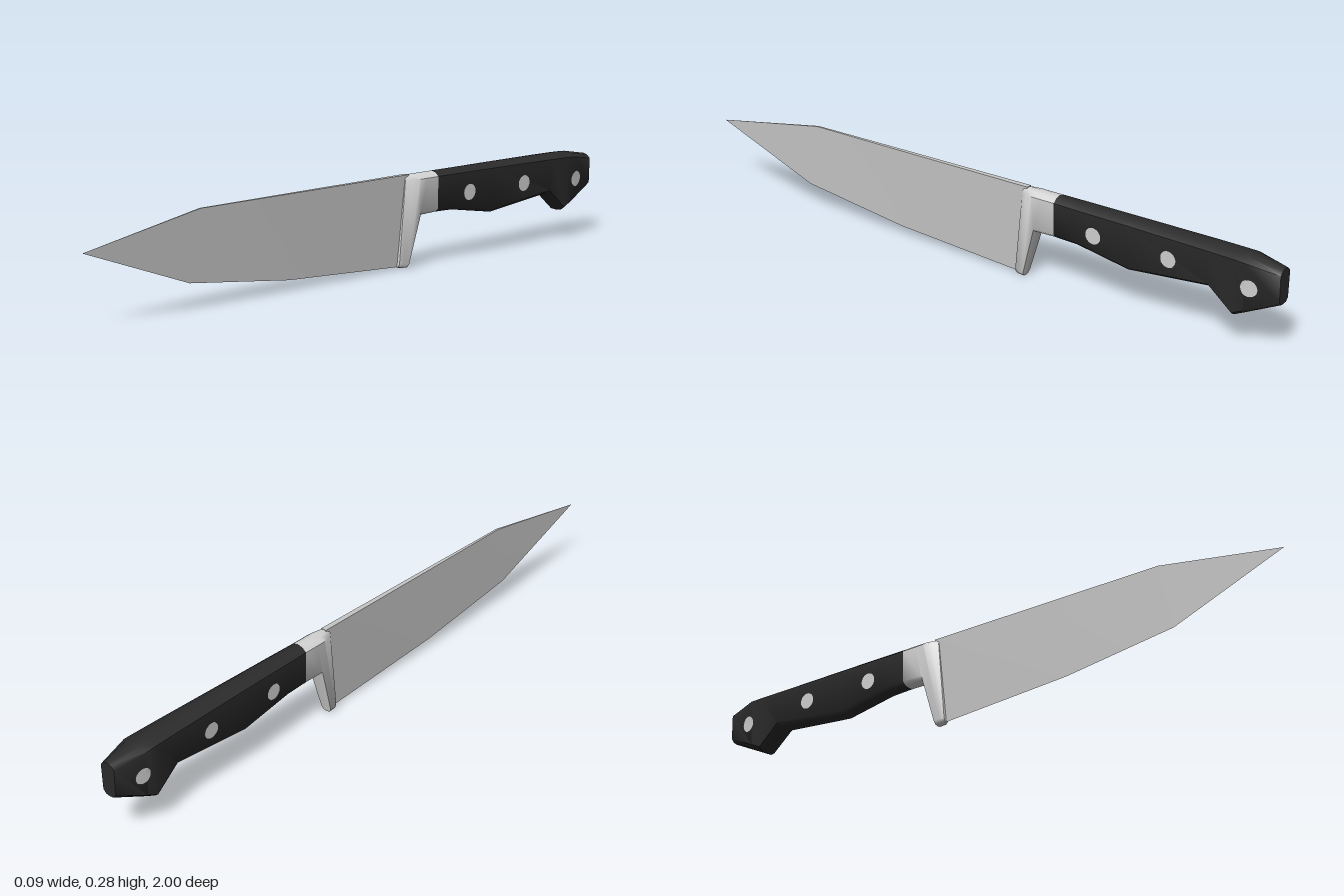
import * as THREE from 'three';
import { toCreasedNormals } from 'three/addons/utils/BufferGeometryUtils.js';

// Each ring is [topZ, topY, bottomZ, bottomY, topHalfWidth, bottomHalfWidth]
const BLADE = [
  [1, 0.205, 1, 0.205, 0, 0],
  [0.61, 0.275, 0.65, 0.075, 0.003, 0],
  [0.29, 0.277, 0.29, 0.03, 0.006, 0],
  [-0.18, 0.28, -0.15, 0.005, 0.009, 0],
];
const BOLSTER = [
  [-0.165, 0.278, -0.14, 0.004, 0.011, 0.01],
  [-0.185, 0.28, -0.15, 0.001, 0.021, 0.017],
  [-0.21, 0.28, -0.172, 0, 0.03, 0.018],
  [-0.24, 0.28, -0.213, 0.153, 0.03, 0.027],
  [-0.285, 0.28, -0.285, 0.155, 0.03, 0.028],
];
const HANDLE = [
  [-0.285, 0.28, -0.285, 0.155, 0.03, 0.028],
  [-0.36, 0.28, -0.36, 0.153, 0.032, 0.029],
  [-0.53, 0.28, -0.53, 0.125, 0.035, 0.03],
  [-0.79, 0.279, -0.79, 0.153, 0.041, 0.035],
  [-0.865, 0.278, -0.865, 0.09, 0.043, 0.034],
  [-0.9, 0.277, -0.9, 0.107, 0.044, 0.034],
  [-1, 0.26, -1, 0.155, 0.025, 0.023],
];

// Half outlines from top to bottom: [side (0 centre, 1 full), drop from top, rise from bottom, use bottom]
const WEDGE = [[1, 0, false], [0, 0, true]];
const ROUNDED = [[0, 0, false], [0.55, 0.004, false], [1, 0.015, false], [1, 0.012, true], [0.6, 0.002, true], [0, 0, true]];

// Turns one ring into a closed outline, mirrored across x
function outline([tz, ty, bz, by, wt, wb], half) {
  const left = half.map(([side, inset, low]) => {
    const y = low ? by + inset : ty - inset;
    const t = ty === by ? 0 : (ty - y) / (ty - by);
    return [-side * (low ? wb : wt), y, tz + (bz - tz) * t];
  });
  const right = left.filter((p, i) => half[i][0] > 0).reverse().map(([x, y, z]) => [-x, y, z]);
  return [...left, ...right];
}

// Skins the outlines from front to back and caps both ends
function loft(rings, half, crease) {
  const loops = rings.map((r) => outline(r, half));
  const n = loops[0].length;
  const index = [];
  for (let i = 0; i < loops.length - 1; i++) {
    for (let j = 0; j < n; j++) {
      const a = i * n + j, b = i * n + ((j + 1) % n);
      index.push(a, a + n, b, b, a + n, b + n);
    }
  }
  const last = (loops.length - 1) * n;
  for (let j = 1; j < n - 1; j++) {
    index.push(0, j, j + 1, last, last + j + 1, last + j);
  }
  const geo = new THREE.BufferGeometry();
  geo.setAttribute('position', new THREE.Float32BufferAttribute(loops.flat(2), 3));
  geo.setIndex(index);
  return toCreasedNormals(geo, crease);
}

// Half width of the handle side at a given height and depth
function handleSide(y, z) {
  let i = 0;
  while (i < HANDLE.length - 2 && z < HANDLE[i + 1][0]) i++;
  const a = HANDLE[i], b = HANDLE[i + 1];
  const t = (z - a[0]) / (b[0] - a[0]);
  const [, ty, , by, wt, wb] = a.map((v, k) => v + (b[k] - v) * t);
  const s = (ty - 0.015 - y) / (ty - by - 0.027);
  return wt + (wb - wt) * s;
}

// Thin disc that follows the handle side
function rivetGeometry(y, z, side) {
  const geo = new THREE.CircleGeometry(0.025, 20);
  geo.rotateY(side * Math.PI / 2);
  const p = geo.attributes.position;
  for (let i = 0; i < p.count; i++) {
    const py = p.getY(i) + y, pz = p.getZ(i) + z;
    p.setXYZ(i, side * (handleSide(py, pz) + 0.0025), py, pz);
  }
  geo.computeVertexNormals();
  return geo;
}

export function createModel() {
  const material = (name, color) => {
    const m = new THREE.MeshStandardMaterial({ color });
    m.name = name;
    return m;
  };
  const bladeSteel = material('blade steel', 0xc6c6c6);
  const polishedSteel = material('polished steel', 0xd4d4d4);
  const black = material('black handle', 0x2b2b2b);

  const knife = new THREE.Group();
  knife.name = 'kitchenKnife';
  const add = (name, geo, mat) => {
    const mesh = new THREE.Mesh(geo, mat);
    mesh.name = name;
    knife.add(mesh);
  };

  add('blade', loft(BLADE, WEDGE, 0.3), bladeSteel);
  add('bolster', loft(BOLSTER, ROUNDED, 0.9), polishedSteel);
  add('handle', loft(HANDLE, ROUNDED, 0.9), black);

  // Three rivets on each side
  for (const side of [-1, 1]) {
    for (const [y, z] of [[0.203, -0.42], [0.203, -0.665], [0.19, -0.915]]) {
      add(side > 0 ? 'leftRivet' : 'rightRivet', rivetGeometry(y, z, side), polishedSteel);
    }
  }
  return knife;
}
